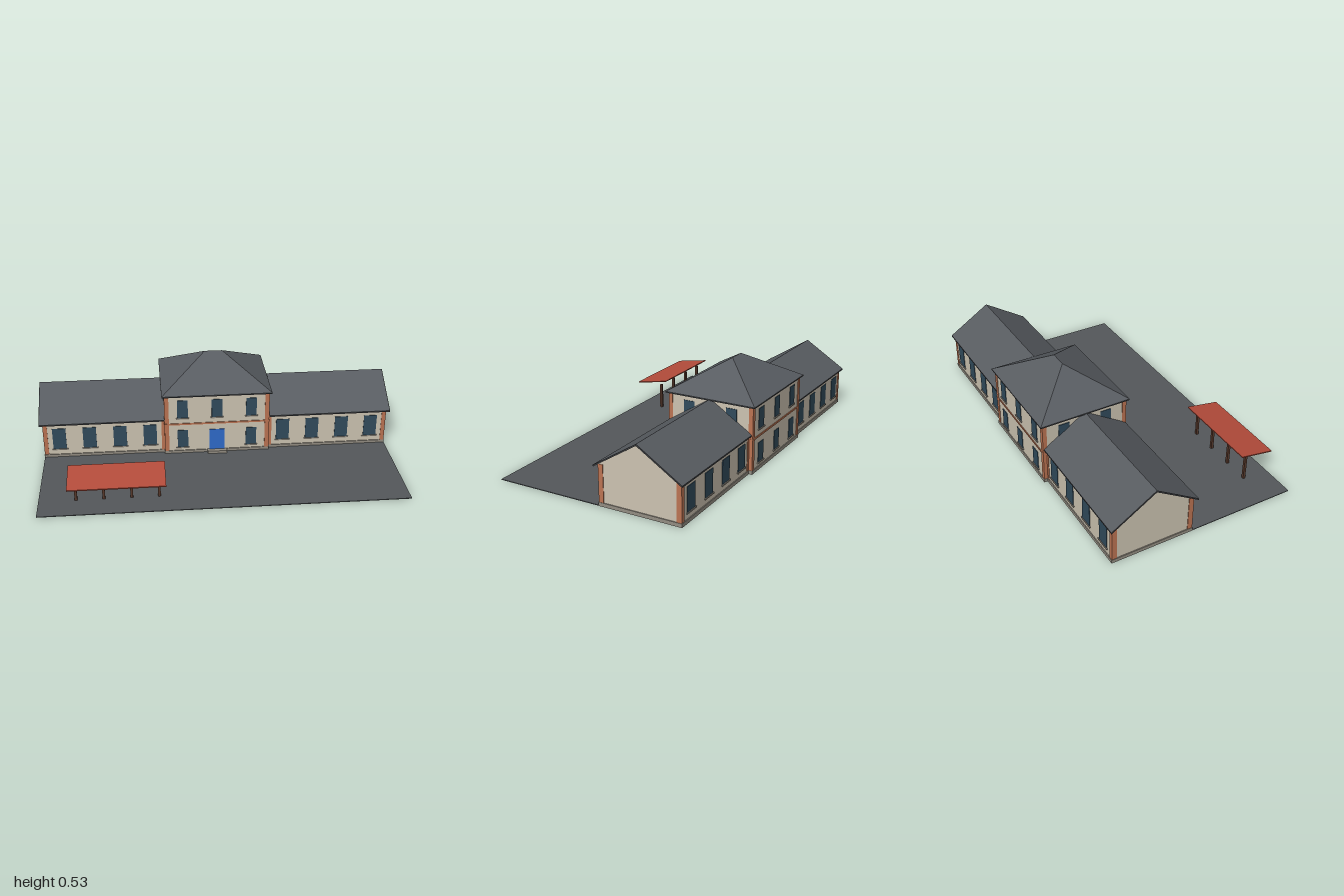
import * as THREE from 'three';

const mat = (name, color) => {
  const m = new THREE.MeshStandardMaterial({ color });
  m.name = name;
  return m;
};

export function createModel() {
  const model = new THREE.Group();
  model.name = 'stationBuilding';

  const render = mat('cream render', 0xcdc4b2);
  const brick = mat('brick', 0xbc7453);
  const slate = mat('slate roof', 0x585c61);
  const asphalt = mat('asphalt', 0x54585b);
  const stone = mat('stone', 0x938d82);
  const glass = mat('window glass', 0x314b5c);
  const doorBlue = mat('door blue', 0x2f6bcb);
  const red = mat('canopy red', 0xb44c3b);
  const brown = mat('post brown', 0x57392c);
  const dark = mat('eaves', 0x3f4144);

  const MID = -0.285; // z of the ridge line

  const add = (parent, name, geo, material) => {
    const mesh = new THREE.Mesh(geo, material);
    mesh.name = name;
    parent.add(mesh);
    return mesh;
  };
  // Box given by its minimum and maximum on each axis
  const box = (parent, name, material, [x0, x1], [y0, y1], [z0, z1]) => {
    const mesh = add(parent, name, new THREE.BoxGeometry(x1 - x0, y1 - y0, z1 - z0), material);
    mesh.position.set((x0 + x1) / 2, (y0 + y1) / 2, (z0 + z1) / 2);
    return mesh;
  };
  // Profile in (z, y) extruded from x0 to x1
  const alongX = (points, x0, x1) => {
    const shape = new THREE.Shape(points.map(([z, y]) => new THREE.Vector2(z, y)));
    const geo = new THREE.ExtrudeGeometry(shape, { depth: x1 - x0, bevelEnabled: false });
    return geo.rotateY(-Math.PI / 2).translate(x1, 0, 0);
  };
  // Window pane with a sill; turn is the rotation of the wall about y
  const windowUnit = (parent, x, z, turn, w, y0, y1) => {
    const unit = new THREE.Group();
    unit.name = 'window';
    box(unit, 'pane', glass, [-w / 2, w / 2], [y0, y1], [-0.002, 0.003]);
    box(unit, 'sill', stone, [-w / 2 - 0.007, w / 2 + 0.007], [y0 - 0.007, y0], [-0.002, 0.007]);
    unit.position.set(x, 0, z);
    unit.rotation.y = turn;
    parent.add(unit);
  };

  // Forecourt
  box(model, 'forecourt', asphalt, [-0.982, 0.982], [0, 0.004], [-0.058, 0.545]);

  // Single-storey wings, mirrored
  for (const s of [-1, 1]) {
    const wing = new THREE.Group();
    wing.name = s > 0 ? 'leftWing' : 'rightWing';
    model.add(wing);
    const span = (a, b) => (s > 0 ? [a, b] : [-b, -a]);

    add(wing, 'walls', alongX(
      [[-0.06, 0.012], [-0.06, 0.217], [MID, 0.358], [-0.51, 0.217], [-0.51, 0.012]].reverse(),
      ...span(0.285, 0.978)), render);
    box(wing, 'plinth', stone, span(0.295, 0.983), [0, 0.02], [-0.515, -0.055]);

    // Roof with a dark verge at the gable end
    const chevron = [[-0.045, 0.217], [MID, 0.369], [-0.525, 0.217],
      [-0.525, 0.209], [MID, 0.36], [-0.045, 0.209]];
    add(wing, 'roof', alongX(chevron, ...span(0.29, 0.996)), slate);
    add(wing, 'verge', alongX(chevron, ...span(0.996, 1.0)), dark);
    for (const [z0, z1] of [[-0.0455, -0.043], [-0.527, -0.5245]])
      box(wing, 'eavesBoard', dark, span(0.3, 1.0), [0.209, 0.217], [z0, z1]);

    // Corner brickwork
    for (const x of [[0.957, 0.981], [0.29, 0.315]])
      for (const z of [[-0.085, -0.0575], [-0.5125, -0.485]])
        box(wing, 'cornerBrick', brick, span(...x), [0.02, 0.217], z);

    for (const x of [0.38, 0.55, 0.722, 0.892]) {
      windowUnit(wing, s * x, -0.06, 0, 0.075, 0.055, 0.183);
      windowUnit(wing, s * x, -0.51, Math.PI, 0.075, 0.055, 0.183);
    }
  }

  // Two-storey central block
  const block = new THREE.Group();
  block.name = 'centralBlock';
  model.add(block);
  box(block, 'walls', render, [-0.295, 0.295], [0.012, 0.366], [-0.529, -0.041]);
  box(block, 'plinth', stone, [-0.3, 0.3], [0, 0.02], [-0.534, -0.036]);
  box(block, 'stringCourse', brick, [-0.299, 0.299], [0.184, 0.194], [-0.533, -0.037]);
  for (const x of [[-0.298, -0.273], [0.273, 0.298]])
    for (const z of [[-0.532, -0.508], [-0.062, -0.038]])
      box(block, 'cornerBrick', brick, x, [0.02, 0.366], z);

  for (const [z, turn] of [[-0.041, 0], [-0.529, Math.PI]])
    for (const x of [-0.195, 0, 0.195]) {
      windowUnit(block, x, z, turn, 0.06, 0.228, 0.338);
      if (x !== 0 || turn !== 0) windowUnit(block, x, z, turn, 0.06, 0.042, 0.15);
    }
  for (const s of [-1, 1])
    for (const z of [-0.162, -0.408])
      windowUnit(block, s * 0.295, z, s * Math.PI / 2, 0.062, 0.228, 0.338);

  box(block, 'door', doorBlue, [-0.043, 0.043], [0.02, 0.148], [-0.043, -0.037]);
  box(block, 'doorStep', stone, [-0.055, 0.055], [0, 0.02], [-0.04, -0.012]);

  // Hipped roof: eaves rectangle rising to a short ridge
  box(block, 'eaves', dark, [-0.311, 0.311], [0.364, 0.371], [-0.545, -0.025]);
  const [A, B, C, D] = [[-0.311, 0.371, -0.025], [0.311, 0.371, -0.025],
    [0.311, 0.371, -0.545], [-0.311, 0.371, -0.545]];
  const [L, R] = [[-0.05, 0.527, MID], [0.05, 0.527, MID]];
  const hip = new THREE.BufferGeometry();
  hip.setAttribute('position', new THREE.Float32BufferAttribute(
    [A, B, R, A, R, L, B, C, R, C, D, L, C, L, R, D, A, L].flat(), 3));
  hip.computeVertexNormals();
  add(block, 'hippedRoof', hip, slate);

  // Free-standing shelter
  const shelter = new THREE.Group();
  shelter.name = 'shelter';
  model.add(shelter);
  add(shelter, 'canopy', alongX(
    [[0.545, 0.154], [0.352, 0.187], [0.352, 0.181], [0.545, 0.148]], -0.818, -0.312), red);
  for (const x of [-0.785, -0.639, -0.492, -0.346])
    box(shelter, 'post', brown, [x - 0.007, x + 0.007], [0, 0.149], [0.394, 0.408]);

  return model;
}
